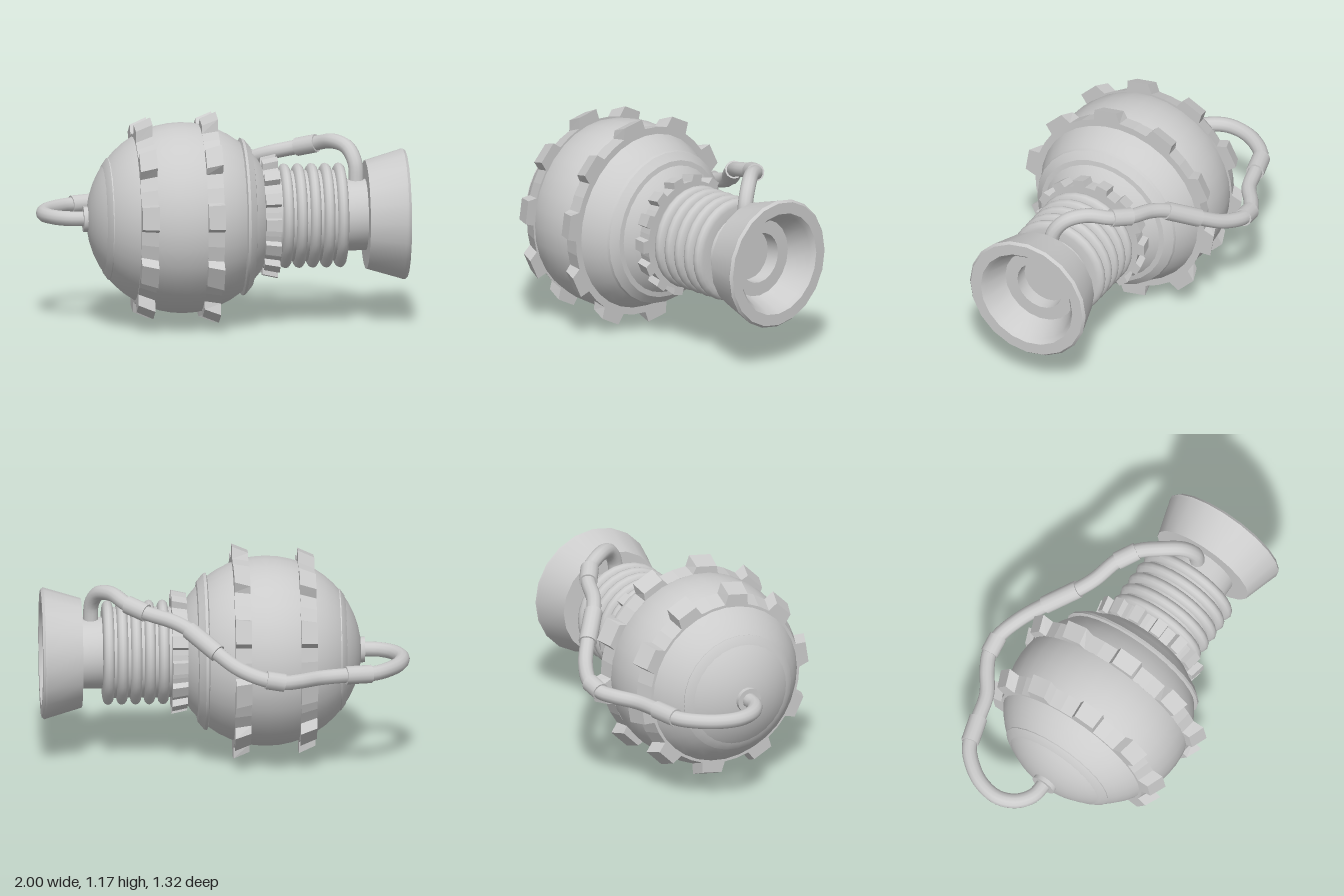
import * as THREE from 'three';
import { toCreasedNormals } from 'three/addons/utils/BufferGeometryUtils.js';

const material = new THREE.MeshStandardMaterial({ color: 0xcccccc, side: THREE.DoubleSide });
const AXIS_Y = 0.597, AXIS_Z = 0.07;

function addMesh(parent, name, geometry) {
  const mesh = new THREE.Mesh(geometry, material);
  mesh.name = name;
  parent.add(mesh);
  return mesh;
}

// Solid of revolution about the x axis, from [x, radius] pairs
function turned(profile, sides = 28, crease = 0.45) {
  const points = profile.map(([x, r]) => new THREE.Vector2(r, x));
  const geometry = new THREE.LatheGeometry(points, sides);
  geometry.rotateZ(-Math.PI / 2);
  return toCreasedNormals(geometry, crease);
}

// Toothed band about the x axis; radii grow from the left end to the right end
function toothedBand({ x0, x1, inner, base, tip, teeth, phase, tipHalf, baseHalf }) {
  const pitch = 360 / teeth;
  const outline = [];
  for (let i = 0; i < teeth; i++) {
    const c = phase + i * pitch;
    outline.push([c - baseHalf, base], [c - tipHalf, tip], [c + tipHalf, tip], [c + baseHalf, base], [c + pitch / 2, base]);
  }
  const loops = outline.map(([deg, radii]) => {
    const a = THREE.MathUtils.degToRad(deg);
    return [[x0, inner], [x0, radii[0]], [x1, radii[1]], [x1, inner]]
      .map(([x, r]) => [x, r * Math.sin(a), -r * Math.cos(a)]);
  });
  const positions = [];
  loops.forEach((p, i) => {
    const q = loops[(i + 1) % loops.length];
    for (let j = 0; j < 3; j++) {
      positions.push(...p[j], ...q[j], ...p[j + 1], ...q[j], ...q[j + 1], ...p[j + 1]);
    }
  });
  const geometry = new THREE.BufferGeometry();
  geometry.setAttribute('position', new THREE.Float32BufferAttribute(positions, 3));
  geometry.computeVertexNormals();
  return geometry;
}

// Straight cylinder between two points
function rod(a, b, radius) {
  const dir = b.clone().sub(a);
  const geometry = new THREE.CylinderGeometry(radius, radius, dir.length(), 14);
  geometry.applyQuaternion(new THREE.Quaternion().setFromUnitVectors(new THREE.Vector3(0, 1, 0), dir.normalize()));
  const mid = a.clone().add(b).multiplyScalar(0.5);
  return geometry.translate(mid.x, mid.y, mid.z);
}

export function createModel() {
  const model = new THREE.Group();
  model.name = 'toothedCapsule';

  // Everything turned about the long axis
  const body = new THREE.Group();
  body.name = 'body';
  body.position.set(0, AXIS_Y, AXIS_Z);
  model.add(body);

  // Round shell
  const shell = [];
  for (let i = 0; i <= 24; i++) {
    const a = Math.PI * i / 24;
    shell.push([-0.225 - 0.52 * Math.cos(a), Math.max(0.52 * Math.sin(a), 0.0001)]);
  }
  addMesh(body, 'shell', turned(shell, 32));

  // Raised rims on both ends of the shell
  addMesh(body, 'rearRim', turned([[-0.665, 0.26], [-0.655, 0.298], [-0.63, 0.333], [-0.615, 0.33]]));
  addMesh(body, 'frontRim', turned([[0.09, 0.4], [0.1, 0.43], [0.115, 0.425], [0.15, 0.383], [0.155, 0.35]]));

  // Toothed bands
  const big = { inner: 0.42, teeth: 10, phase: 27, tipHalf: 6.6, baseHalf: 8.8 };
  addMesh(body, 'rearToothedBand', toothedBand({ ...big, x0: -0.49, x1: -0.4, base: [0.462, 0.5], tip: [0.52, 0.56] }));
  addMesh(body, 'middleToothedBand', toothedBand({ ...big, x0: -0.13, x1: -0.042, base: [0.51, 0.525], tip: [0.55, 0.586] }));
  addMesh(body, 'neckToothedBand', toothedBand({
    x0: 0.208, x1: 0.292, inner: 0.2, base: [0.285, 0.3], tip: [0.32, 0.338],
    teeth: 14, phase: 0, tipHalf: 5.5, baseHalf: 7,
  }));

  // Ribbed bellows
  const ribs = [[0.28, 0.245]];
  for (let i = 0; i < 5; i++) {
    const x = 0.337 + i * 0.075;
    for (let k = 0; k <= 6; k++) {
      const a = Math.PI * k / 6;
      ribs.push([x - 0.03 * Math.cos(a), 0.248 + 0.038 * Math.sin(a)]);
    }
  }
  ribs.push([0.668, 0.19]);
  addMesh(body, 'bellows', turned(ribs, 28, 0.9));

  // Neck and flared, hollow mouth
  addMesh(body, 'neck', turned([[0.64, 0.195], [0.8, 0.195]], 24));
  addMesh(body, 'mouth', turned([
    [0.78, 0.18], [0.78, 0.298], [0.972, 0.355], [0.985, 0.36], [1, 0.348], [1, 0.285],
    [0.975, 0.263], [0.85, 0.215], [0.85, 0.14], [0.77, 0.14], [0.77, 0.0001],
  ], 20));

  // Hose socket at the rear
  addMesh(body, 'rearSocket', turned([[-0.72, 0.07], [-0.764, 0.07], [-0.764, 0.0001]].reverse(), 16));

  // Hose from the rear socket round the back to the neck
  const path = [
    [-0.75, 0.6, 0.07], [-0.84, 0.6, 0.06], [-0.92, 0.6, 0], [-0.96, 0.6, -0.1], [-0.935, 0.6, -0.23],
    [-0.85, 0.6, -0.35], [-0.78, 0.6, -0.4], [-0.64, 0.605, -0.44], [-0.5, 0.605, -0.48], [-0.38, 0.61, -0.56],
    [-0.3, 0.615, -0.6], [-0.2, 0.635, -0.61], [-0.06, 0.68, -0.56], [0.06, 0.75, -0.48], [0.21, 0.85, -0.36],
    [0.3, 0.885, -0.31], [0.44, 0.92, -0.265], [0.54, 0.95, -0.2], [0.62, 0.978, -0.09], [0.69, 0.955, 0.0],
    [0.725, 0.88, 0.055], [0.73, 0.76, 0.07],
  ].map((p) => new THREE.Vector3(...p));
  const hose = new THREE.Group();
  hose.name = 'hose';
  model.add(hose);
  addMesh(hose, 'hoseTube', new THREE.TubeGeometry(new THREE.CatmullRomCurve3(path), 110, 0.041, 12));

  // Sleeves over the straight stretches
  for (const [from, to] of [[6, 7], [10, 11], [13, 14], [16, 17]]) {
    addMesh(hose, 'hoseSleeve', rod(path[from], path[to], 0.05));
  }
  return model;
}
